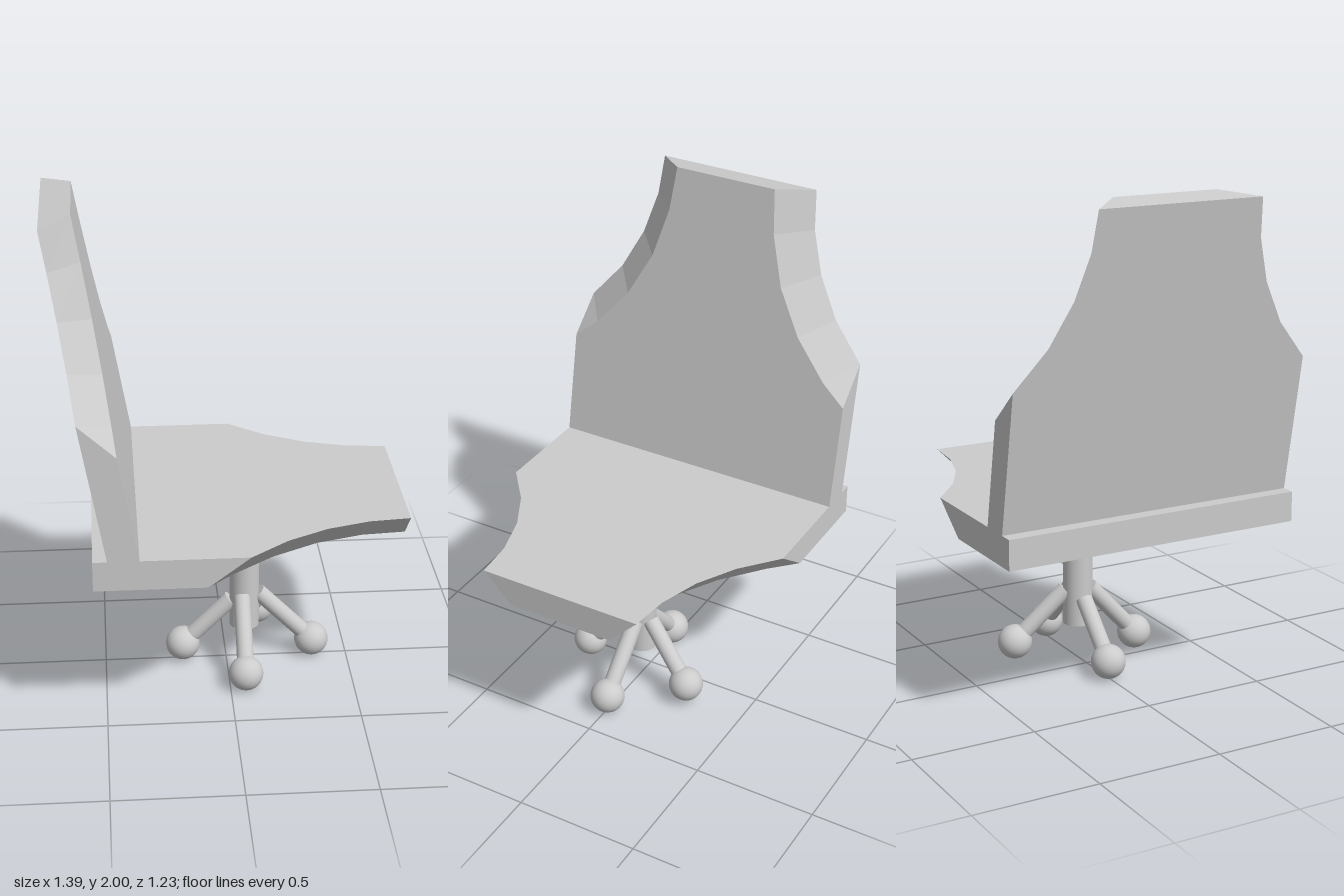
import * as THREE from 'three';

const grey = new THREE.MeshStandardMaterial({ color: 0xcccccc });
const greyFlat = new THREE.MeshStandardMaterial({ color: 0xcccccc, flatShading: true });

// Symmetric slab between a wide and a narrow outline; each half outline lists [along, halfWidth].
function slab(name, wide, narrow, placeWide, placeNarrow) {
  const ring = (half, place) => [
    ...half.map(([s, w]) => place(s, w)),
    ...half.slice().reverse().map(([s, w]) => place(s, -w)),
  ];
  const W = ring(wide, placeWide), N = ring(narrow, placeNarrow);
  const n = W.length, pos = [];
  const quad = (a, b, c, d) => pos.push(...a, ...b, ...c, ...a, ...c, ...d);
  // bevelled rim
  for (let i = 0; i < n; i++) {
    const j = (i + 1) % n;
    quad(W[i], N[i], N[j], W[j]);
  }
  // two faces, as strips across the width
  for (let i = 0; i < n / 2 - 1; i++) {
    const a = n - 1 - i, b = n - 2 - i;
    quad(W[i], W[i + 1], W[b], W[a]);
    quad(N[a], N[b], N[i + 1], N[i]);
  }
  const geo = new THREE.BufferGeometry();
  geo.setAttribute('position', new THREE.Float32BufferAttribute(pos, 3));
  geo.computeVertexNormals();
  const mesh = new THREE.Mesh(geo, greyFlat);
  mesh.name = name;
  return mesh;
}

// Cylinder between two points
function rod(name, from, to, radius) {
  const a = new THREE.Vector3(...from), b = new THREE.Vector3(...to);
  const dir = b.clone().sub(a);
  const mesh = new THREE.Mesh(new THREE.CylinderGeometry(radius, radius, dir.length(), 32), grey);
  mesh.position.copy(a).add(b).multiplyScalar(0.5);
  mesh.quaternion.setFromUnitVectors(new THREE.Vector3(0, 1, 0), dir.normalize());
  mesh.name = name;
  return mesh;
}

export function createModel() {
  const chair = new THREE.Group();
  chair.name = 'deskChair';
  const H = 0.617;

  // Seat: wide on top, undercut along the curved front corners
  chair.add(slab('seat',
    [[-0.54, H], [0.05, H], [0.05, H], [0.2, 0.493], [0.36, 0.406], [0.53, 0.354], [0.692, 0.338]],
    [[-0.54, H], [-0.11, H], [-0.01, 0.52], [0.155, 0.388], [0.335, 0.288], [0.52, 0.232], [0.692, 0.217]],
    (s, w) => [s, 0.79, w],
    (s, w) => [s, 0.67, w]));

  // Backrest: leans back, wide on the rear face
  chair.add(slab('backrest',
    [[0.74, H], [1.34, H], [1.34, H], [1.49, 0.49], [1.655, 0.403], [1.825, 0.352], [1.98, 0.338]],
    [[0.74, H], [1.21, H], [1.29, 0.52], [1.445, 0.388], [1.625, 0.29], [1.825, 0.233], [2, 0.215]],
    (s, w) => [-0.485 - (s - 0.79) * 0.179, s, w],
    (s, w) => [-0.365 - (s - 0.79) * 0.178, s, w]));

  // Column
  chair.add(rod('column', [0.075, 0.16, 0], [0.075, 0.655, 0], 0.061));

  // Four splayed legs ending in ball feet
  const legs = [
    [[0.13, 0.305, 0], [0.355, 0.075, 0]],
    [[0.02, 0.275, 0], [-0.18, 0.075, 0]],
    [[0.062, 0.31, 0.045], [0.062, 0.075, 0.26]],
    [[0.09, 0.305, -0.05], [0.15, 0.095, -0.252]],
  ];
  const ball = new THREE.SphereGeometry(0.07, 32, 20);
  for (const [top, foot] of legs) {
    chair.add(rod('leg', top, foot, 0.034));
    const mesh = new THREE.Mesh(ball, grey);
    mesh.position.set(...foot);
    mesh.name = 'ballFoot';
    chair.add(mesh);
  }

  return chair;
}
